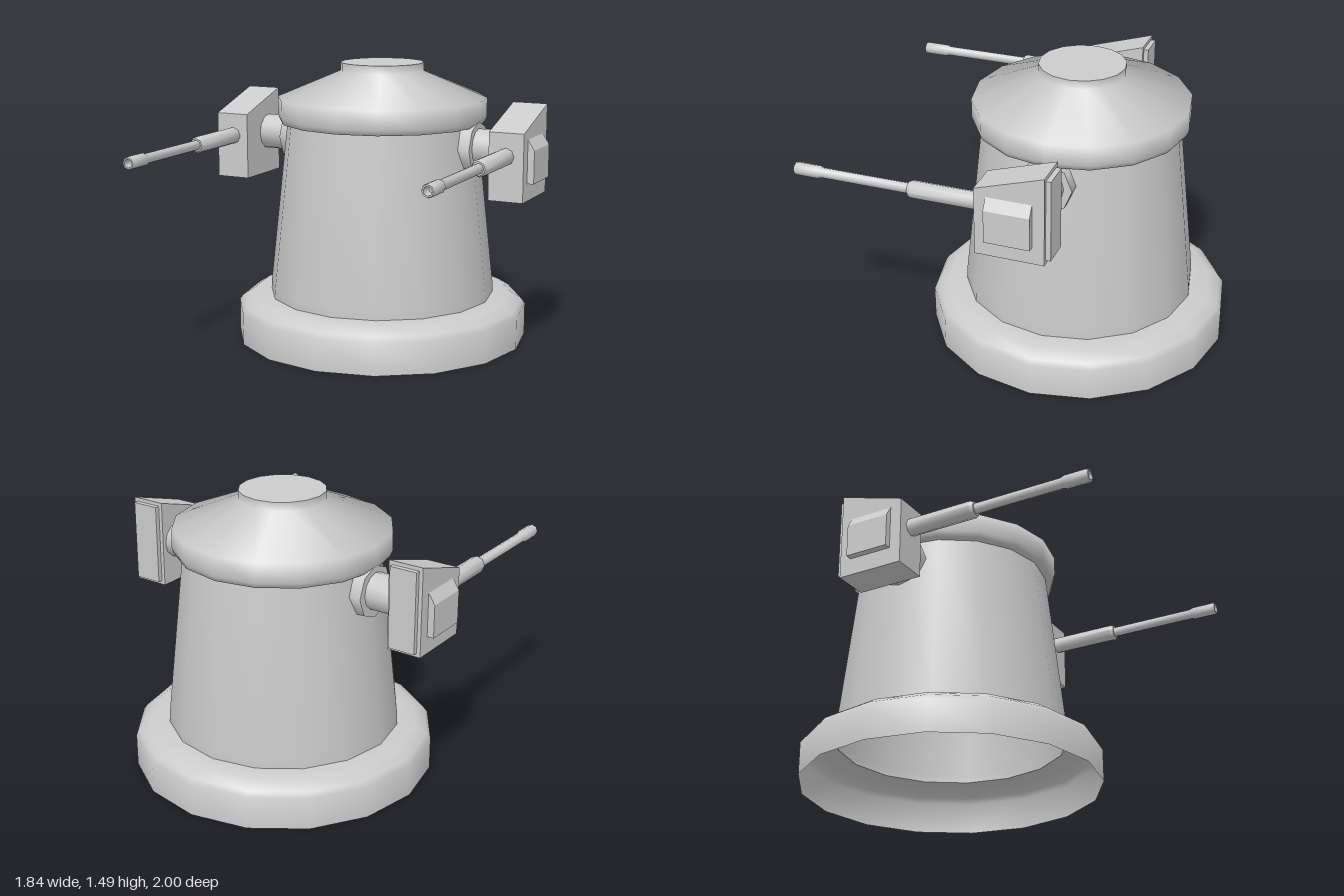
import * as THREE from 'three';
import { toCreasedNormals } from 'three/addons/utils/BufferGeometryUtils.js';

const CZ = -0.215; // turret axis
const GUN_X = 0.79, GUN_Y = 1.07;
const material = new THREE.MeshStandardMaterial({ color: 0xcccccc, side: THREE.DoubleSide });

function add(parent, name, geometry, x = 0, y = 0, z = 0) {
  const mesh = new THREE.Mesh(geometry, material);
  mesh.name = name;
  mesh.position.set(x, y, z);
  parent.add(mesh);
  return mesh;
}

// Revolved profile of [radius, height] pairs with softened edges below the crease angle
function lathe(profile, sides, crease) {
  const points = profile.map(([r, y]) => new THREE.Vector2(r, y));
  return toCreasedNormals(new THREE.LatheGeometry(points, sides), crease);
}

// Extruded polygon, centred on its depth
function prism(corners, depth) {
  const shape = new THREE.Shape(corners.map(([x, y]) => new THREE.Vector2(x, y)));
  return new THREE.ExtrudeGeometry(shape, { depth, bevelEnabled: false }).translate(0, 0, -depth / 2);
}

function addGun(parent, side) {
  const gun = new THREE.Group();
  gun.name = side > 0 ? 'leftGun' : 'rightGun';
  parent.add(gun);

  // Collar and arm joining the housing to the tower
  const collar = toCreasedNormals(new THREE.CylinderGeometry(0.137, 0.137, 0.13, 8).rotateZ(Math.PI / 2), 0.9);
  add(gun, 'armCollar', collar, side * 0.49, GUN_Y - 0.005, CZ);
  const arm = toCreasedNormals(new THREE.CylinderGeometry(0.095, 0.095, 0.3, 12).rotateZ(Math.PI / 2), 0.9);
  add(gun, 'arm', arm, side * 0.56, GUN_Y, CZ);

  // Slope-topped housing with a back plate and a chamfered side panel
  const housing = prism([[0.02, 0.84], [0.02, 1.19], [-0.33, 1.3], [-0.33, 0.84]], 0.185);
  add(gun, 'housing', housing.rotateY(-Math.PI / 2), side * 0.7925);
  add(gun, 'backPlate', new THREE.BoxGeometry(0.145, 0.42, 0.04), side * 0.7925, 1.07, -0.335);
  const panel = prism([[0.87, 0.93], [0.92, 0.93], [0.92, 1.1], [0.885, 1.155], [0.87, 1.155]]
    .map(([x, y]) => [side * x, y]), 0.23);
  add(gun, 'sidePanel', panel, 0, 0, -0.155);

  // Stepped barrel with a hollow muzzle
  const barrel = lathe([[0.045, 0], [0.045, 0.375], [0.036, 0.392], [0.027, 0.392], [0.027, 0.855],
    [0.034, 0.875], [0.034, 0.99], [0.03, 1], [0.022, 1], [0.02, 0.94], [0, 0.94]], 8, 0.85);
  add(gun, 'barrel', barrel.rotateX(Math.PI / 2), side * GUN_X, GUN_Y, 0);
}

export function createModel() {
  const model = new THREE.Group();
  model.name = 'turret';

  // Hollow base ring, open underneath
  add(model, 'base', lathe([[0.785, 0], [0.785, 0.17], [0.765, 0.197], [0.705, 0.235], [0.6, 0.235]],
    16, 0.8), 0, 0, CZ);

  // Tapered tower
  add(model, 'tower', lathe([[0.606, 0.235], [0.606, 0.285], [0.508, 1.175]], 16, 0.8), 0, 0, CZ);

  // Domed cap with a raised flat crown
  add(model, 'cap', lathe([[0.5, 1.172], [0.548, 1.172], [0.56, 1.2], [0.56, 1.3], [0.222, 1.442],
    [0.222, 1.487], [0, 1.487]], 16, 1.25), 0, 0, CZ);

  for (const side of [-1, 1]) addGun(model, side);
  return model;
}
